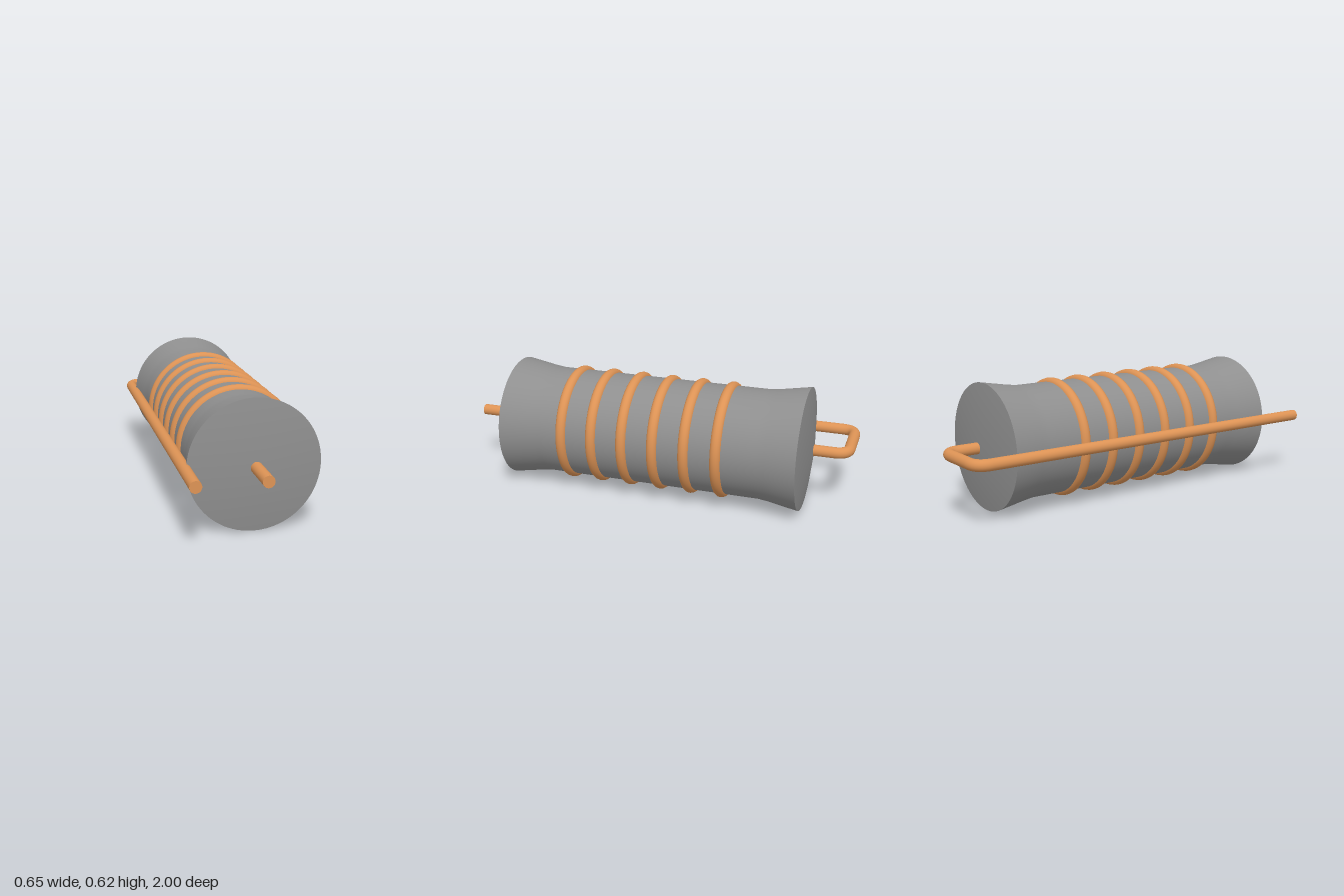
import * as THREE from 'three';
import { toCreasedNormals } from 'three/addons/utils/BufferGeometryUtils.js';

const AXIS_X = 0.016, AXIS_Y = 0.31, WIRE_R = 0.028, SIDE_X = -0.3, BACK_Z = -0.972;

export function createModel() {
  const group = new THREE.Group();
  const grey = new THREE.MeshStandardMaterial({ color: 0x8f8f8f });
  const copper = new THREE.MeshStandardMaterial({ color: 0xdd9355 });

  function add(name, geometry, material, x = 0, y = 0, z = 0) {
    const mesh = new THREE.Mesh(geometry, material);
    mesh.name = name;
    mesh.position.set(x, y, z);
    group.add(mesh);
  }

  // Core: straight barrel with flared ends and shallow conical faces
  const half = [[0.277, 0.56], [0.283, 0.61], [0.31, 0.765], [0, 0.807]];
  const profile = [
    ...half.map(([r, z]) => new THREE.Vector2(r, -z)).reverse(),
    ...half.map(([r, z]) => new THREE.Vector2(r, z)),
  ];
  const core = toCreasedNormals(new THREE.LatheGeometry(profile, 96), 0.5);
  core.rotateX(Math.PI / 2);
  add('core', core, grey, AXIS_X, AXIS_Y);

  // Evenly spaced wire windings
  const ring = new THREE.TorusGeometry(0.268, WIRE_R, 16, 96);
  for (let i = 0; i < 6; i++) {
    add(`winding${i + 1}`, ring, copper, AXIS_X, AXIS_Y, -0.369 + i * 0.1614);
  }

  // Front lead
  const lead = new THREE.CylinderGeometry(WIRE_R, WIRE_R, 0.3, 24);
  lead.rotateX(Math.PI / 2);
  add('frontLead', lead, copper, AXIS_X, AXIS_Y, 0.85);

  // Return lead: out of the back, around two bends and along the side
  const at = (x, z) => new THREE.Vector3(x, AXIS_Y, z);
  const bend = 0.07;
  const path = new THREE.CurvePath();
  path.add(new THREE.LineCurve3(at(AXIS_X, -0.7), at(AXIS_X, BACK_Z + bend)));
  path.add(new THREE.QuadraticBezierCurve3(
    at(AXIS_X, BACK_Z + bend), at(AXIS_X, BACK_Z), at(AXIS_X - bend, BACK_Z)));
  path.add(new THREE.LineCurve3(at(AXIS_X - bend, BACK_Z), at(SIDE_X + bend, BACK_Z)));
  path.add(new THREE.QuadraticBezierCurve3(
    at(SIDE_X + bend, BACK_Z), at(SIDE_X, BACK_Z), at(SIDE_X, BACK_Z + bend)));
  path.add(new THREE.LineCurve3(at(SIDE_X, BACK_Z + bend), at(SIDE_X, 1)));
  add('returnLead', new THREE.TubeGeometry(path, 240, WIRE_R, 24), copper);
  add('returnLeadEnd', new THREE.CircleGeometry(WIRE_R, 24), copper, SIDE_X, AXIS_Y, 1);

  return group;
}
